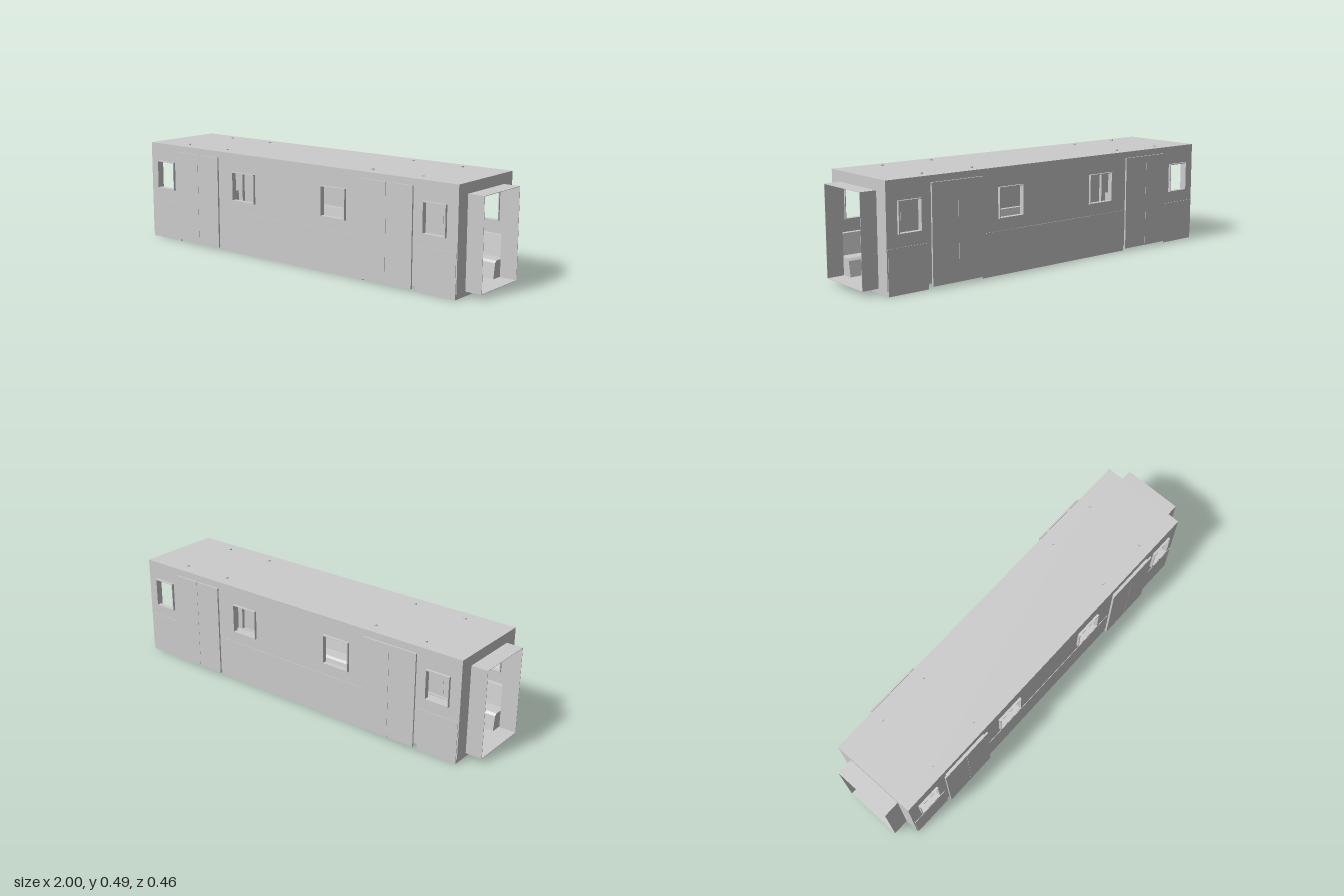
import * as THREE from 'three';

const material = new THREE.MeshStandardMaterial({ color: 0xcccccc, side: THREE.DoubleSide, flatShading: true });

// Main dimensions
const L = 0.922, W = 0.212, TOP = 0.485, FLOOR = 0.023, T = 0.004;
const GANG_W = 0.143, GANG_TOP = 0.437;
const windows = [[-0.87, -0.752], [-0.345, -0.203], [0.203, 0.342], [0.752, 0.868]];
const WIN_Y = [0.256, 0.397];
const doorCentres = [-0.57, 0.57];
const DOOR_HALF = 0.137;

export function createModel() {
  const model = new THREE.Group();

  const add = (geometry, name) => {
    const mesh = new THREE.Mesh(geometry, material);
    mesh.name = name;
    model.add(mesh);
    return mesh;
  };
  // Box given by its limits on each axis
  const box = (name, x0, x1, y0, y1, z0, z1) => {
    const g = new THREE.BoxGeometry(Math.abs(x1 - x0), y1 - y0, Math.abs(z1 - z0));
    g.translate((x0 + x1) / 2, (y0 + y1) / 2, (z0 + z1) / 2);
    return add(g, name);
  };
  const polygon = (pts, Type = THREE.Shape) => new Type(pts.map(([a, b]) => new THREE.Vector2(a, b)));
  const rect = (x0, x1, y0, y1, Type) => polygon([[x0, y0], [x1, y0], [x1, y1], [x0, y1]], Type);
  // Extrude centred on its depth
  const slab = (shape, depth) =>
    new THREE.ExtrudeGeometry(shape, { depth, bevelEnabled: false }).translate(0, 0, -depth / 2);
  // Slab drawn in (z, y), with its depth running along x
  const crossSlab = (shape, depth, x) => slab(shape, depth).rotateY(-Math.PI / 2).translate(x, 0, 0);
  // Thin rectangular sleeve running through a wall
  const sleeve = (name, x0, x1, y0, y1, z0, z1, t = 0.004) => {
    const shape = rect(x0, x1, y0, y1);
    shape.holes.push(rect(x0 + t, x1 - t, y0 + t, y1 - t, THREE.Path));
    add(slab(shape, Math.abs(z1 - z0)).translate(0, 0, (z0 + z1) / 2), name);
  };

  // Roof and floor
  box('roof', -L, L, TOP - T, TOP, -W, W);
  box('floor', -L, L, FLOOR, FLOOR + 0.002, -W, W);

  for (const s of [-1, 1]) {
    // Side wall with window and door openings
    const wall = rect(-L, L, FLOOR, TOP);
    for (const [a, b] of windows) wall.holes.push(rect(a, b, ...WIN_Y, THREE.Path));
    for (const c of doorCentres) wall.holes.push(rect(c - 0.12, c + 0.12, 0.03, 0.435, THREE.Path));
    add(slab(wall, T).translate(0, 0, s * (W - T / 2)), 'sideWall');

    // Window frames
    for (const [a, b] of windows) sleeve('windowFrame', a, b, ...WIN_Y, s * 0.2, s * 0.224);

    // Door surrounds and pairs of sliding leaves
    for (const c of doorCentres) {
      sleeve('doorSurround', c - 0.122, c + 0.122, 0.024, 0.437, s * 0.206, s * 0.223);
      for (const d of [-1, 1]) {
        box('doorLeaf', c + d * 0.0005, c + d * DOOR_HALF, 0.012, 0.457, s * 0.222, s * 0.23);
      }
    }

    // Benches: one long in the middle, one short at each end
    const bench = polygon([
      [0.2145, 0], [0.085, 0], [0.1, 0.095], [0.11, 0.105],
      [0.172, 0.105], [0.186, 0.2], [0.2145, 0.2],
    ].map(([z, y]) => [s * z, y]));
    add(crossSlab(bench, 0.87, 0), 'middleBench');
    for (const e of [-1, 1]) add(crossSlab(bench, 0.198, e * 0.818), 'endBench');

    // Grab poles, their tips showing above the roof
    for (const x of [-0.705, -0.442, 0.442, 0.705]) {
      const h = 0.491 - FLOOR;
      add(new THREE.CylinderGeometry(0.007, 0.007, h, 12).translate(x, FLOOR + h / 2, s * 0.152), 'grabPole');
    }
  }

  for (const e of [-1, 1]) {
    // End wall with a passage opening
    const end = rect(-W, W, FLOOR, TOP);
    end.holes.push(rect(-GANG_W, GANG_W, FLOOR + 0.001, GANG_TOP, THREE.Path));
    add(crossSlab(end, T, e * (L - T / 2)), 'endWall');

    // Open gangway tunnel
    const tunnel = rect(-GANG_W, GANG_W, FLOOR, GANG_TOP);
    tunnel.holes.push(rect(-GANG_W + 0.002, GANG_W - 0.002, FLOOR + 0.002, GANG_TOP - 0.002, THREE.Path));
    add(crossSlab(tunnel, 1 - L, e * (1 + L) / 2), 'gangway');
  }

  return model;
}
